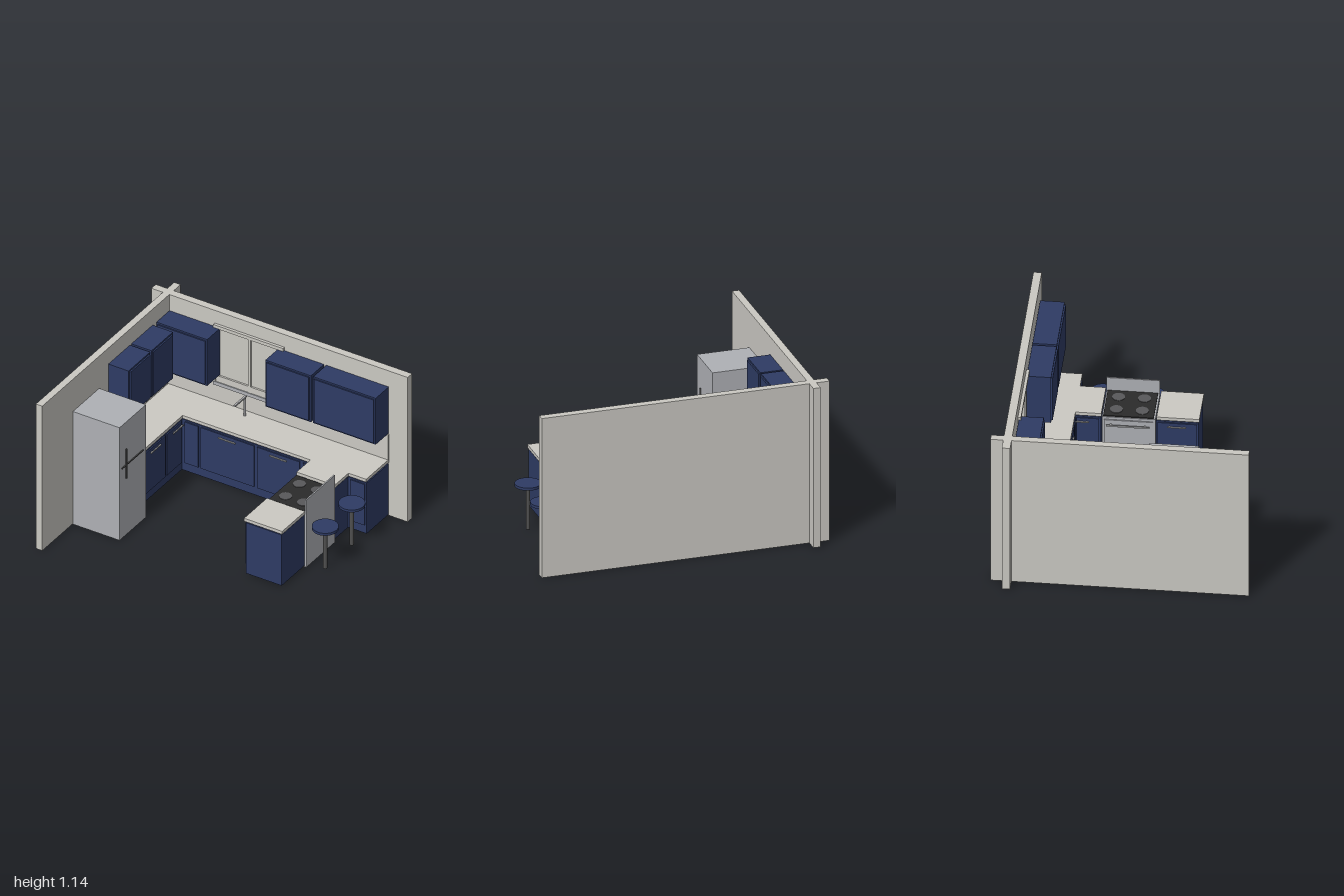
import * as THREE from 'three';

const mat = (name, color) => Object.assign(new THREE.MeshStandardMaterial({ color }), { name });

export function createModel() {
  const root = new THREE.Group();
  root.name = 'kitchen';
  const wall = mat('warm wall grey', 0xcac8c2);
  const stone = mat('counter stone', 0xcbc9c3);
  const navy = mat('navy', 0x2e3b64);
  const steel = mat('steel', 0xaeb0b5);
  const metal = mat('handle metal', 0xa8a9ab);
  const dark = mat('dark metal', 0x505050);
  const black = mat('hob black', 0x2b2b2b);
  const ring = mat('burner grey', 0x58585a);

  // Box given by its limits on each axis
  const box = (name, m, x0, x1, y0, y1, z0, z1, parent = root) => {
    const mesh = new THREE.Mesh(new THREE.BoxGeometry(x1 - x0, y1 - y0, z1 - z0), m);
    mesh.position.set((x0 + x1) / 2, (y0 + y1) / 2, (z0 + z1) / 2);
    mesh.name = name;
    parent.add(mesh);
    return mesh;
  };
  const cylinder = (name, m, r, x, y0, y1, z, parent = root, sides = 40) => {
    const mesh = new THREE.Mesh(new THREE.CylinderGeometry(r, r, y1 - y0, sides), m);
    mesh.position.set(x, (y0 + y1) / 2, z);
    mesh.name = name;
    parent.add(mesh);
  };

  // Walls crossing at the back left corner
  box('backWall', wall, -1, 1, 0, 1.145, -0.775, -0.72);
  box('leftWallFront', wall, -0.91, -0.86, 0, 1.145, -0.72, 0.855);
  box('leftWallStub', wall, -0.91, -0.86, 0, 1.145, -0.86, -0.775);
  box('backsplash', stone, -0.86, 0.855, 0.445, 0.645, -0.72, -0.707);

  // Window frame with centre mullion and sill
  const win = new THREE.Group();
  win.name = 'window';
  root.add(win);
  box('topRail', wall, -0.505, 0.04, 1.02, 1.045, -0.72, -0.7, win);
  box('sill', steel, -0.505, 0.04, 0.57, 0.597, -0.72, -0.7, win);
  for (const x of [-0.505, -0.235, 0.02])
    box('upright', wall, x, x + 0.018, 0.597, 1.02, -0.72, -0.702, win);

  // Upper cabinets on the back wall
  for (const [x0, x1] of [[-0.855, -0.46], [-0.005, 0.35], [0.368, 0.855]]) {
    box('upperCabinet', navy, x0, x1, 0.655, 1.022, -0.715, -0.553);
    box('upperDoor', navy, x0 + 0.012, x1 - 0.012, 0.668, 1.01, -0.553, -0.543);
  }
  // Upper cabinets on the left wall
  for (const [z0, z1] of [[-0.51, -0.245], [-0.228, 0.04]]) {
    box('sideUpperCabinet', navy, -0.857, -0.7, 0.655, 1.022, z0, z1);
    box('sideUpperDoor', navy, -0.7, -0.69, 0.668, 1.01, z0 + 0.012, z1 - 0.012);
  }

  // Base cabinets on low plinths
  const base = (name, x0, x1, z0, z1) => {
    box(name, navy, x0, x1, 0.012, 0.413, z0, z1);
    box(name + 'Plinth', navy, x0 + 0.015, x1 - 0.015, 0, 0.012, z0 + 0.015, z1 - 0.015);
  };
  base('backBase', -0.857, 0.855, -0.715, -0.442);
  base('leftBase', -0.857, -0.587, -0.442, 0.04);
  base('peninsulaRearBase', 0.43, 0.71, -0.442, -0.268);
  base('peninsulaFrontBase', 0.43, 0.71, 0.097, 0.382);

  // Back doors and bar handles
  for (const [x0, x1] of [[-0.56, -0.455], [-0.435, -0.02], [0.005, 0.335], [0.362, 0.42], [0.73, 0.843]])
    box('backDoor', navy, x0, x1, 0.078, 0.402, -0.442, -0.433);
  for (const x of [-0.228, 0.172]) {
    box('backHandle', metal, x - 0.065, x + 0.065, 0.37, 0.378, -0.43, -0.422);
    for (const s of [-0.05, 0.05])
      box('handlePost', metal, x + s - 0.004, x + s + 0.004, 0.37, 0.378, -0.433, -0.43);
  }
  // Doors facing sideways: left run faces +x, peninsula faces -x
  for (const [face, dir, z0, z1, h0, h1] of [
    [-0.587, 1, -0.43, -0.245, -0.435, -0.31], [-0.587, 1, -0.225, 0.028, -0.16, -0.035],
    [0.43, -1, -0.43, -0.28, -0.435, -0.345], [0.43, -1, 0.11, 0.37, 0.175, 0.3]]) {
    const span = (a, b) => [face + dir * a, face + dir * b].sort((p, q) => p - q);
    box('sideDoor', navy, ...span(0, 0.009), 0.078, 0.402, z0, z1);
    box('sideHandle', metal, ...span(0.013, 0.02), 0.37, 0.378, h0, h1);
    for (const z of [h0 + 0.015, h1 - 0.015])
      box('handlePost', metal, ...span(0.009, 0.013), 0.37, 0.378, z - 0.004, z + 0.004);
  }

  // Worktops
  const top = (name, x0, x1, z0, z1) => box(name, stone, x0, x1, 0.423, 0.447, z0, z1);
  top('backCounter', -0.86, 0.855, -0.72, -0.435);
  top('leftCounter', -0.86, -0.577, -0.435, 0.04);
  top('peninsulaRearCounter', 0.42, 0.717, -0.435, -0.264);
  top('peninsulaFrontCounter', 0.42, 0.717, 0.103, 0.387);

  // Sink below the worktop, and tap
  box('sink', black, -0.42, -0.04, 0.413, 0.423, -0.68, -0.47);
  const tap = new THREE.Group();
  tap.name = 'tap';
  root.add(tap);
  cylinder('tapPole', metal, 0.008, -0.228, 0.447, 0.595, -0.652, tap, 16);
  box('tapSpout', metal, -0.235, -0.221, 0.588, 0.6, -0.667, -0.525, tap);

  // Cooker with hob, back panel and oven handle
  const cooker = new THREE.Group();
  cooker.name = 'cooker';
  root.add(cooker);
  box('cookerBody', steel, 0.42, 0.712, 0, 0.424, -0.26, 0.095, cooker);
  box('cookerBackPanel', steel, 0.712, 0.722, 0, 0.532, -0.26, 0.095, cooker);
  box('hob', black, 0.426, 0.711, 0.424, 0.432, -0.252, 0.083, cooker);
  box('ovenDoor', steel, 0.412, 0.42, 0.08, 0.405, -0.245, 0.08, cooker);
  box('ovenHandle', metal, 0.39, 0.398, 0.366, 0.378, -0.23, 0.06, cooker);
  for (const z of [-0.2, 0.03])
    box('ovenHandlePost', metal, 0.398, 0.412, 0.368, 0.376, z - 0.005, z + 0.005, cooker);
  for (const x of [0.5, 0.64])
    for (const z of [-0.172, 0])
      cylinder('burner', ring, 0.043, x, 0.432, 0.435, z, cooker);

  // Fridge with crossed handles
  const fridge = new THREE.Group();
  fridge.name = 'fridge';
  root.add(fridge);
  box('fridgeBody', steel, -0.857, -0.493, 0, 0.893, 0.153, 0.48, fridge);
  box('uprightHandle', dark, -0.493, -0.484, 0.45, 0.682, 0.396, 0.405, fridge);
  box('levelHandle', dark, -0.493, -0.486, 0.552, 0.56, 0.19, 0.455, fridge);

  // Bar stools
  for (const z of [-0.297, 0.032]) {
    const stool = new THREE.Group();
    stool.name = 'stool';
    stool.position.set(0.83, 0, z);
    root.add(stool);
    cylinder('stoolSeat', navy, 0.089, 0, 0.312, 0.331, 0, stool, 48);
    cylinder('stoolPole', dark, 0.014, 0, 0, 0.312, 0, stool, 20);
  }
  return root;
}
